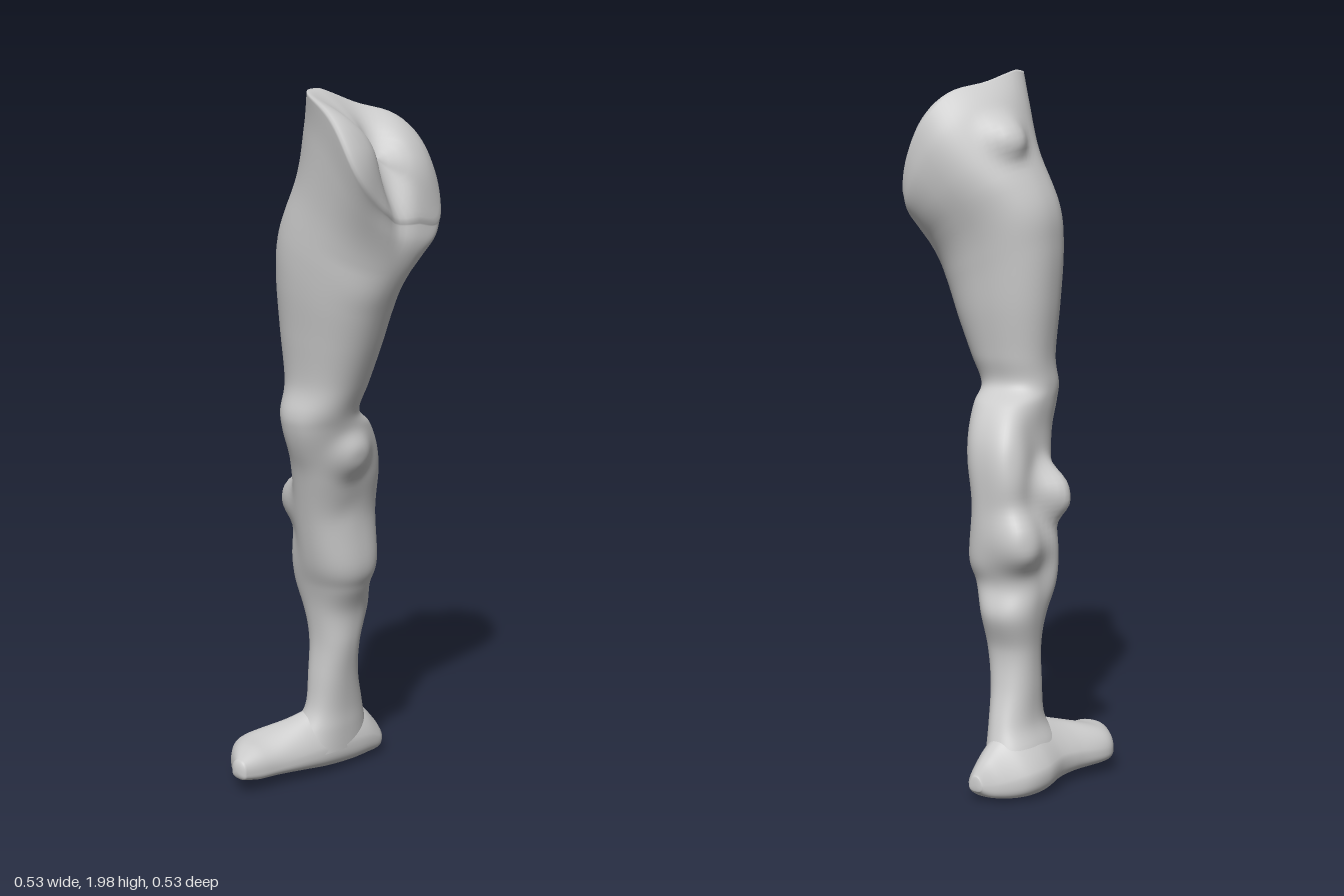
import * as THREE from 'three';

const material = new THREE.MeshStandardMaterial({ color: 0xcccccc });
const SEG = 72;
const STEPS = 8;

// Smoothly resamples a table of section rows
function resample(rows) {
  const out = [];
  const last = rows.length - 1;
  for (let i = 0; i < last; i++) {
    for (let s = 0; s < STEPS; s++) {
      const t = s / STEPS;
      const p = rows[Math.max(i - 1, 0)], a = rows[i], b = rows[i + 1], q = rows[Math.min(i + 2, last)];
      out.push(a.map((v, k) => {
        const m0 = (b[k] - p[k]) / 2, m1 = (q[k] - v) / 2;
        return v + m0 * t + (3 * (b[k] - v) - 2 * m0 - m1) * t * t + (2 * (v - b[k]) + m0 + m1) * t * t * t;
      }));
    }
  }
  out.push(rows[last]);
  return out;
}

// Rounded-off square wave for fuller-than-elliptical sections
const full = (v, e) => Math.sign(v) * Math.pow(Math.abs(v), e);

function makeRing(fn) {
  return Array.from({ length: SEG }, (_, j) => {
    const t = (j / SEG) * Math.PI * 2;
    return fn(Math.cos(t), Math.sin(t));
  });
}

// Rings shrinking to the middle; offset bends the cap outwards
function capRings(ring, offset) {
  const c = ring.reduce((s, p) => s.add(p), new THREE.Vector3()).divideScalar(SEG);
  return [0.97, 0.92, 0.85, 0.75, 0.65, 0.55, 0.45, 0.35, 0.25, 0.15, 0.07, 0.001].map((k) =>
    ring.map((p) => c.clone().lerp(p, k).addScaledVector(offset, Math.sqrt(1 - k * k))));
}

function loft(name, rings, flip) {
  const pos = [], index = [];
  rings.forEach((r) => r.forEach((p) => pos.push(p.x, p.y, p.z)));
  for (let i = 0; i < rings.length - 1; i++) {
    for (let j = 0; j < SEG; j++) {
      const k = (j + 1) % SEG;
      const a = i * SEG + j, b = i * SEG + k, c = a + SEG, d = b + SEG;
      if (flip) index.push(a, c, b, b, c, d);
      else index.push(a, b, c, b, d, c);
    }
  }
  const geo = new THREE.BufferGeometry();
  geo.setAttribute('position', new THREE.Float32BufferAttribute(pos, 3));
  geo.setIndex(index);
  geo.computeVertexNormals();
  const mesh = new THREE.Mesh(geo, material);
  mesh.name = name;
  return mesh;
}

// Muscles and joints swelling out of the skin: centre, push, radii
const bulges = [
  [[-0.13, 0.835, -0.01], [-0.072, 0, 0], [0.12, 0.07, 0.06]], // outer knee knob
  [[-0.15, 0.66, -0.02], [-0.025, 0, 0.005], [0.1, 0.15, 0.045]], // outer shin ridge
  [[-0.14, 0.71, -0.14], [-0.04, 0, -0.03], [0.09, 0.075, 0.08]], // lower calf knob
  [[-0.1, 0.93, -0.135], [-0.025, 0, -0.022], [0.07, 0.15, 0.07]], // outer calf muscle
  [[0.08, 0.99, 0.015], [0.028, 0, 0], [0.06, 0.06, 0.065]], // inner knee knob
  [[-0.02, 1.06, 0.15], [0, 0, 0.01], [0.08, 0.09, 0.07]], // kneecap
  [[-0.035, 1.8, -0.04], [-0.038, 0, -0.01], [0.065, 0.055, 0.06]], // hip knob
  [[0.18, 1.83, -0.09], [0.025, 0.025, 0], [0.16, 0.16, 0.08]], // back hip lobe
  [[0.2, 1.84, 0.15], [0.015, 0.015, 0], [0.12, 0.14, 0.08]], // front hip lobe
  [[0.2, 1.76, 0.02], [-0.025, -0.012, 0], [0.1, 0.16, 0.045]], // valley between the lobes
].map((b) => b.map((v) => new THREE.Vector3(...v)));

function swell(p) {
  const out = p.clone();
  bulges.forEach(([centre, push, radii]) =>
    out.addScaledVector(push, Math.exp(-Math.pow(p.clone().sub(centre).divide(radii).length(), 3))));
  return out;
}

export function createModel() {
  const leg = new THREE.Group();
  leg.name = 'leg';

  // Shin, calf and knee: outer x, y, inner x, y, back z, front z, forward lean of the top
  const shinRows = [
    [-0.205, 0.07, -0.03, 0.07, -0.235, 0.07, 0],
    [-0.185, 0.135, -0.03, 0.135, -0.212, 0.035, 0],
    [-0.156, 0.2, -0.03, 0.2, -0.188, 0.004, 0],
    [-0.15, 0.3, -0.02, 0.3, -0.158, -0.005, 0],
    [-0.15, 0.4, -0.005, 0.4, -0.15, -0.01, 0],
    [-0.162, 0.5, 0.005, 0.5, -0.18, 0.0, 0],
    [-0.165, 0.58, 0.034, 0.58, -0.162, 0.018, 0],
    [-0.16, 0.67, 0.054, 0.65, -0.178, 0.045, 0],
    [-0.14, 0.8, 0.046, 0.8, -0.178, 0.077, 0],
    [-0.125, 0.92, 0.068, 0.92, -0.17, 0.107, 0],
    [-0.115, 1.0, 0.08, 1.0, -0.148, 0.13, 0],
    [-0.115, 1.07, 0.09, 1.07, -0.105, 0.15, 0],
  ];
  // Thigh: sections tip over towards the slanted hip cut
  const thighRows = [
    [-0.113, 1.12, 0.1, 1.12, -0.045, 0.156, 0],
    [-0.11, 1.2, 0.13, 1.2, -0.055, 0.147, 0],
    [-0.125, 1.35, 0.168, 1.3, -0.075, 0.16, 0],
    [-0.132, 1.5, 0.2, 1.39, -0.09, 0.175, 0],
    [-0.12, 1.62, 0.225, 1.46, -0.11, 0.182, 0],
    [-0.05, 1.77, 0.248, 1.54, -0.155, 0.185, 0.02],
    [-0.002, 1.9, 0.256, 1.59, -0.175, 0.2, 0.05],
    [0.04, 1.985, 0.25, 1.635, -0.17, 0.218, 0.08],
  ];
  const rows = resample([...shinRows, ...thighRows]);
  const rings = rows.map(([ax, ay, bx, by, z0, z1, lean], i) => {
    // Front and back lobes of the hip grow towards the cut
    const grow = Math.max(0, (i - rows.length + 1 + 2.5 * STEPS) / (2.5 * STEPS));
    return makeRing((c, s) => {
      const u = full(c, 0.88), w = full(s, 0.88);
      const lobe = (s > 0 ? 0.07 : 0.045) * grow * s * s;
      return new THREE.Vector3(
        (ax + bx) / 2 + u * (bx - ax) / 2 + lobe,
        (ay + by) / 2 + u * (by - ay) / 2 + lobe * 0.5 - 0.06 * grow * Math.max(0, -s),
        (z0 + z1) / 2 + w * (z1 - z0) / 2 - lean * u * (1 - s * s));
    });
  });
  const hip = capRings(rings[rings.length - 1], new THREE.Vector3(0.018, 0.009, 0));
  leg.add(loft('legBody', [...rings, ...hip].map((r) => r.map(swell)), true));

  // Foot: z, outer x, inner x, bottom, top, peak x, pull of the top towards the peak
  const footRows = [
    [-0.263, -0.095, -0.05, 0.03, 0.075, -0.07, 0.3],
    [-0.24, -0.14, -0.035, 0.012, 0.115, -0.085, 0.4],
    [-0.19, -0.2, -0.028, 0.004, 0.17, -0.09, 0.45],
    [-0.12, -0.222, -0.028, 0.002, 0.19, -0.09, 0.45],
    [-0.03, -0.215, -0.035, 0.01, 0.19, -0.09, 0.45],
    [0.04, -0.228, -0.05, 0.018, 0.168, -0.11, 0.3],
    [0.14, -0.263, -0.08, 0.025, 0.137, -0.16, 0.05],
    [0.2, -0.23, -0.095, 0.03, 0.125, -0.155, 0],
    [0.25, -0.17, -0.11, 0.045, 0.105, -0.14, 0],
  ];
  const footRings = resample(footRows).map(([z, x0, x1, y0, y1, peak, pull]) => {
    const mid = y0 + (y1 - y0) * 0.4;
    return makeRing((c, s) => {
      const x = (x0 + x1) / 2 + full(c, 0.8) * (x1 - x0) / 2;
      return new THREE.Vector3(
        x + (peak - x) * Math.max(0, s) * pull,
        s > 0 ? mid + (y1 - mid) * full(s, 0.9) : mid - (mid - y0) * full(-s, 0.6),
        z);
    });
  });
  const heel = capRings(footRings[0], new THREE.Vector3(0, 0, -0.004)).reverse();
  const toe = capRings(footRings[footRings.length - 1], new THREE.Vector3(0, 0, 0.014));
  leg.add(loft('foot', [...heel, ...footRings, ...toe], false));
  return leg;
}
